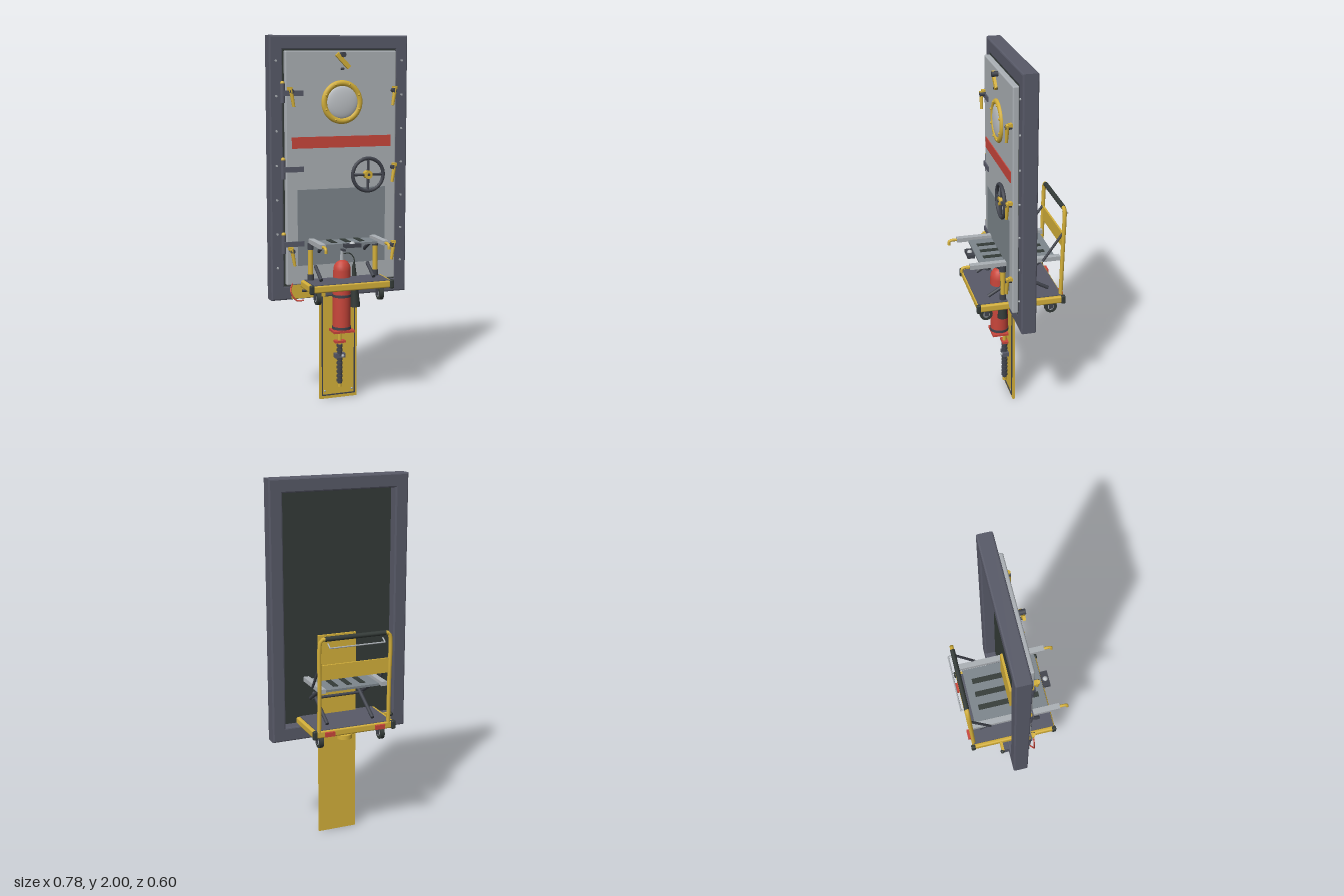
import * as THREE from 'three';
import { RoundedBoxGeometry } from 'three/addons/geometries/RoundedBoxGeometry.js';

const paint = (name, color) => Object.assign(new THREE.MeshStandardMaterial({ color }), { name });
const M = {
  frame: paint('slate frame', 0x585a68),
  steel: paint('light steel', 0xabb0b5),
  panel: paint('grey panel', 0x7d868c),
  dark: paint('dark green grey', 0x343b38),
  yellow: paint('safety yellow', 0xd4b03a),
  red: paint('signal red', 0xc9463b),
  iron: paint('dark iron', 0x41444d),
  glass: paint('pale glass', 0xbfc3c7),
};
const V = (x, y, z) => new THREE.Vector3(x, y, z);

function add(parent, name, geo, mat, x = 0, y = 0, z = 0) {
  const m = new THREE.Mesh(geo, mat);
  m.name = name;
  m.position.set(x, y, z);
  parent.add(m);
  return m;
}
function group(parent, name, x = 0, y = 0, z = 0) {
  const g = new THREE.Group();
  g.name = name;
  g.position.set(x, y, z);
  parent.add(g);
  return g;
}
// box given by its limits on each axis
const box = (p, name, mat, [x0, x1], [y0, y1], [z0, z1]) =>
  add(p, name, new THREE.BoxGeometry(x1 - x0, y1 - y0, z1 - z0), mat, (x0 + x1) / 2, (y0 + y1) / 2, (z0 + z1) / 2);
// round bar between two points
function rod(p, name, mat, a, b, r, r2 = r, sides = 14) {
  const m = add(p, name, new THREE.CylinderGeometry(r2, r, a.distanceTo(b), sides), mat);
  m.position.copy(a).lerp(b, 0.5);
  m.quaternion.setFromUnitVectors(V(0, 1, 0), b.clone().sub(a).normalize());
  return m;
}
const ball = (p, name, mat, r, x, y, z) => add(p, name, new THREE.SphereGeometry(r, 16, 12), mat, x, y, z);
const tube = (p, name, mat, pts, r) =>
  add(p, name, new THREE.TubeGeometry(new THREE.CatmullRomCurve3(pts), 28, r, 10), mat);
function rect(P, x0, x1, y0, y1) {
  const s = new P();
  s.moveTo(x0, y0); s.lineTo(x1, y0); s.lineTo(x1, y1); s.lineTo(x0, y1); s.closePath();
  return s;
}

function buildDoor(root) {
  const g = group(root, 'door');
  // surrounding frame with bevelled edges
  const s = rect(THREE.Shape, -0.382, 0.382, 0.598, 1.992);
  s.holes.push(rect(THREE.Path, -0.325, 0.325, 0.66, 1.933));
  add(g, 'doorFrame', new THREE.ExtrudeGeometry(s, {
    depth: 0.067, bevelThickness: 0.008, bevelSize: 0.008, bevelSegments: 2 }), M.frame, 0, 0, -0.057);
  box(g, 'backing', M.dark, [-0.325, 0.325], [0.66, 1.933], [-0.005, 0.016]);
  add(g, 'doorLeaf', new RoundedBoxGeometry(0.625, 1.245, 0.034, 2, 0.008), M.steel, 0, 1.298, 0.03);
  box(g, 'lowerPanel', M.panel, [-0.25, 0.25], [0.78, 1.19], [0.044, 0.05]);
  box(g, 'redStripe', M.red, [-0.28, 0.28], [1.41, 1.47], [0.044, 0.052]);
  for (const sx of [-1, 1]) for (let i = 0; i < 7; i++) {
    const y = 0.77 + i * 0.183;
    rod(g, 'frameBolt', M.steel, V(sx * 0.355, y, 0.015), V(sx * 0.355, y, 0.025), 0.006, 0.006, 8);
  }

  // porthole
  const port = group(g, 'porthole', 0, 1.65, 0.05);
  add(port, 'portholeRing', new THREE.TorusGeometry(0.1, 0.016, 12, 40), M.yellow).scale.z = 0.8;
  const dome = add(port, 'portholeGlass', new THREE.SphereGeometry(0.09, 32, 10, 0, Math.PI * 2, 0, Math.PI / 2), M.glass);
  dome.rotation.x = Math.PI / 2;
  dome.scale.y = 0.2;
  for (let i = 0; i < 8; i++) {
    const a = (i + 0.5) * Math.PI / 4;
    ball(port, 'ringBolt', M.yellow, 0.006, 0.1 * Math.cos(a), 0.1 * Math.sin(a), 0.013);
  }

  // hand wheel
  const wheel = group(g, 'handWheel', 0.143, 1.26, 0.068);
  add(wheel, 'wheelRim', new THREE.TorusGeometry(0.088, 0.01, 10, 36), M.iron);
  for (let i = 0; i < 4; i++) {
    const a = i * Math.PI / 2;
    rod(wheel, 'spoke', M.iron, V(0, 0, 0), V(0.088 * Math.cos(a), 0.088 * Math.sin(a), 0), 0.007);
  }
  rod(wheel, 'wheelHub', M.yellow, V(0, 0, -0.022), V(0, 0, 0.012), 0.023);
  rod(wheel, 'wheelNut', M.iron, V(0, 0, 0.01), V(0, 0, 0.017), 0.007);

  // hinges
  for (const y of [1.7, 1.3, 0.9]) {
    rod(g, 'hingeBarrel', M.frame, V(-0.324, y - 0.05, 0.032), V(-0.324, y + 0.05, 0.032), 0.013);
    ball(g, 'hingeCap', M.yellow, 0.012, -0.324, y + 0.052, 0.032);
    box(g, 'hingeStrap', M.frame, [-0.324, -0.215], [y - 0.014, y + 0.014], [0.04, 0.054]);
  }
  // clamping levers
  for (const [x, y] of [[0.292, 1.68], [0.292, 1.265], [0.292, 0.835], [-0.285, 1.68], [-0.285, 0.835]]) {
    const d = group(g, 'clampLever', x, y, 0.045);
    const k = Math.sign(x);
    rod(d, 'leverPivot', M.iron, V(0, 0.03, 0), V(0, 0.03, 0.035), 0.012);
    box(d, 'leverShoe', M.yellow, [-0.012 + k * 0.008, 0.012 + k * 0.008], [0.035, 0.052], [0, 0.022]);
    rod(d, 'leverArm', M.yellow, V(k * 0.006, 0.045, 0.025), V(-k * 0.01, -0.05, 0.027), 0.011, 0.008);
  }
  // upper latch
  const latch = group(g, 'topLatch', 0, 1.867, 0.05);
  box(latch, 'latchBar', M.yellow, [-0.05, 0.05], [-0.012, 0.012], [0.008, 0.022]).rotation.z = -0.8;
  rod(latch, 'latchPivot', M.iron, V(0, 0.032, -0.005), V(0, 0.032, 0.03), 0.014);
  rod(latch, 'latchStop', M.iron, V(0, -0.042, -0.005), V(0, -0.042, 0.02), 0.007);
}

function buildBackPlate(root) {
  const g = group(root, 'mountingPlate');
  box(g, 'plate', M.yellow, [-0.11, 0.11], [0, 1.15], [-0.021, -0.008]);
  for (const sx of [-1, 1]) {
    box(g, 'sideTrim', M.iron, [sx * 0.095 - 0.003, sx * 0.095 + 0.003], [0.02, 0.6], [-0.009, -0.003]);
    ball(g, 'plateScrew', M.steel, 0.006, sx * 0.08, 0.045, -0.007);
  }
  box(g, 'bottomTrim', M.iron, [-0.095, 0.095], [0.018, 0.024], [-0.009, -0.003]);

  // hanging tool with ribbed grip
  const t = group(g, 'hangingTool', 0, 0, 0.014);
  rod(t, 'toolShaft', M.yellow, V(0, 0.07, 0), V(0, 0.42, 0), 0.011);
  rod(t, 'toolGrip', M.iron, V(0, 0.09, 0), V(0, 0.315, 0), 0.013);
  for (let i = 0; i < 9; i++) rod(t, 'gripRib', M.iron, V(0, 0.1 + i * 0.025, 0), V(0, 0.113 + i * 0.025, 0), 0.017);
  box(t, 'toolGuard', M.red, [-0.03, 0.03], [0.324, 0.336], [-0.018, 0.018]);
  box(t, 'toolClamp', M.frame, [-0.03, 0.03], [0.238, 0.262], [-0.02, 0.015]);
  ball(t, 'clampKnob', M.steel, 0.009, 0.012, 0.25, 0.018);
}

function buildExtinguisher(root) {
  const g = group(root, 'extinguisher', 0, 0, 0.044);
  const prof = [[0, 0.4], [0.046, 0.4], [0.05, 0.41], [0.05, 0.74], [0.046, 0.767], [0.033, 0.787], [0.014, 0.797], [0, 0.798]];
  add(g, 'tank', new THREE.LatheGeometry(prof.map(p => new THREE.Vector2(...p)), 32), M.red);
  box(g, 'footPlate', M.red, [-0.06, 0.06], [0.396, 0.408], [-0.04, 0.05]);
  for (const y of [0.42, 0.6]) rod(g, 'tankStrap', M.iron, V(0, y - 0.007, 0), V(0, y + 0.007, 0), 0.053, 0.053, 32);
  rod(g, 'valve', M.steel, V(0, 0.79, 0), V(0, 0.86, 0), 0.014, 0.01);
  box(g, 'valveLever', M.iron, [-0.008, 0.008], [0.85, 0.86], [-0.01, 0.045]);
  tube(g, 'hose', M.dark, [V(0, 0.83, 0), V(0.045, 0.83, 0), V(0.07, 0.8, 0), V(0.07, 0.76, 0)], 0.007);
  rod(g, 'dischargeHorn', M.dark, V(0.08, 0.53, 0), V(0.07, 0.77, 0), 0.028, 0.009, 20);
}

function buildCart(root) {
  const g = group(root, 'cart');
  // lower frame and deck
  for (const sx of [-1, 1]) {
    add(g, 'sideRail', new RoundedBoxGeometry(0.024, 0.04, 0.46, 2, 0.009), M.yellow, sx * 0.222, 0.68, -0.025);
    for (const z of [-0.26, 0.21])
      add(g, 'cornerCap', new RoundedBoxGeometry(0.024, 0.048, 0.024, 2, 0.007), M.dark, sx * 0.226, 0.68, z);
  }
  for (const z of [-0.25, 0.203])
    add(g, 'crossRail', new RoundedBoxGeometry(0.44, 0.04, 0.026, 2, 0.009), M.yellow, 0, 0.68, z);
  box(g, 'deck', M.frame, [-0.214, 0.214], [0.685, 0.703], [-0.255, 0.21]);
  rod(g, 'underBoss', M.yellow, V(0, 0.588, -0.12), V(0, 0.612, -0.12), 0.042, 0.042, 24);
  rod(g, 'bossStem', M.iron, V(0, 0.582, -0.12), V(0, 0.69, -0.12), 0.018);
  for (const x of [-0.145, 0.145]) box(g, 'rearReflector', M.red, [x - 0.027, x + 0.027], [0.668, 0.692], [-0.277, -0.26]);

  // castors
  for (const x of [-0.178, 0.178]) for (const z of [0.16, -0.203]) {
    const c = group(g, 'castor', x, 0.621, z);
    rod(c, 'tyre', M.dark, V(-0.011, 0, 0), V(0.011, 0, 0), 0.035, 0.035, 24);
    rod(c, 'hub', M.steel, V(-0.013, 0, 0), V(0.013, 0, 0), 0.018);
    for (const k of [-1, 1]) box(c, 'fork', M.iron, [k * 0.016 - 0.003, k * 0.016 + 0.003], [-0.008, 0.042], [-0.012, 0.012]);
    box(c, 'forkTop', M.iron, [-0.02, 0.02], [0.037, 0.046], [-0.018, 0.018]);
  }

  // raised table with slots, rails and pull handles
  const t = group(g, 'table');
  box(t, 'tableTop', M.panel, [-0.155, 0.155], [0.9, 0.912], [-0.23, 0.183]);
  for (const x of [-0.078, 0, 0.078]) box(t, 'tableSlot', M.dark, [x - 0.015, x + 0.015], [0.897, 0.915], [-0.19, 0.15]);
  box(t, 'lampBase', M.iron, [-0.045, 0.045], [0.895, 0.914], [0.188, 0.228]);
  ball(t, 'lamp', M.glass, 0.015, 0, 0.911, 0.208);
  for (const sx of [-1, 1]) {
    const x = sx * 0.176;
    box(t, 'tableRail', M.steel, [x - 0.016, x + 0.016], [0.901, 0.925], [-0.25, 0.245]);
    tube(t, 'pullHandle', M.yellow, [V(x, 0.912, 0.235), V(x, 0.912, 0.275), V(x, 0.905, 0.287), V(x, 0.885, 0.289)], 0.008);
    // lifting posts and scissor arms
    const px = sx * 0.186;
    rod(t, 'postSleeve', M.iron, V(px, 0.7, 0.068), V(px, 0.735, 0.068), 0.018);
    rod(t, 'liftPost', M.yellow, V(px, 0.72, 0.068), V(px, 0.885, 0.068), 0.014);
    rod(t, 'postHead', M.iron, V(px, 0.87, 0.068), V(px, 0.903, 0.068), 0.017);
    rod(t, 'scissorArm', M.iron, V(sx * 0.15, 0.712, 0.14), V(sx * 0.15, 0.9, -0.17), 0.01);
    rod(t, 'scissorArm', M.iron, V(sx * 0.132, 0.9, 0.13), V(sx * 0.132, 0.712, -0.2), 0.01);
  }
  rod(t, 'scissorAxle', M.iron, V(-0.15, 0.805, -0.03), V(0.15, 0.805, -0.03), 0.008);

  // push handle
  const h = group(g, 'pushHandle');
  for (const sx of [-1, 1]) {
    tube(h, 'upright', M.yellow, [V(sx * 0.2, 0.665, -0.252), V(sx * 0.2, 0.95, -0.259), V(sx * 0.2, 1.17, -0.265),
      V(sx * 0.192, 1.196, -0.266), V(sx * 0.165, 1.2, -0.266)], 0.011);
    rod(h, 'brace', M.iron, V(sx * 0.196, 0.91, -0.15), V(sx * 0.196, 1.06, -0.257), 0.007);
    tube(h, 'railHook', M.steel, [V(sx * 0.155, 1.175, -0.266), V(sx * 0.155, 1.165, -0.285), V(sx * 0.155, 1.158, -0.295)], 0.004);
  }
  rod(h, 'grip', M.dark, V(-0.172, 1.2, -0.266), V(0.172, 1.2, -0.266), 0.013);
  rod(h, 'wireRail', M.steel, V(-0.157, 1.158, -0.295), V(0.157, 1.158, -0.295), 0.004);
  box(h, 'handlePanel', M.yellow, [-0.195, 0.195], [0.98, 1.06], [-0.266, -0.256]);

  // side bracket with red pull
  const b = group(g, 'sideBracket');
  box(b, 'bracketTray', M.frame, [-0.275, -0.1], [0.606, 0.66], [-0.1, 0.02]);
  box(b, 'trayFront', M.yellow, [-0.28, -0.09], [0.598, 0.69], [0.019, 0.034]);
  box(b, 'trayBack', M.yellow, [-0.285, -0.2], [0.64, 0.69], [-0.108, -0.094]);
  ball(b, 'bracketKnob', M.dark, 0.012, -0.287, 0.68, -0.105);
  rod(b, 'bracketBar', M.iron, V(-0.225, 0.64, 0.04), V(-0.13, 0.64, 0.04), 0.007);
  tube(b, 'redPull', M.red, [V(-0.278, 0.69, 0.04), V(-0.3, 0.65, 0.074), V(-0.27, 0.6, 0.085), V(-0.232, 0.6, 0.092)], 0.004);
}

export function createModel() {
  const root = new THREE.Group();
  root.name = 'bulkheadDoorWithCart';
  buildDoor(root);
  buildBackPlate(root);
  buildExtinguisher(root);
  buildCart(root);
  return root;
}
